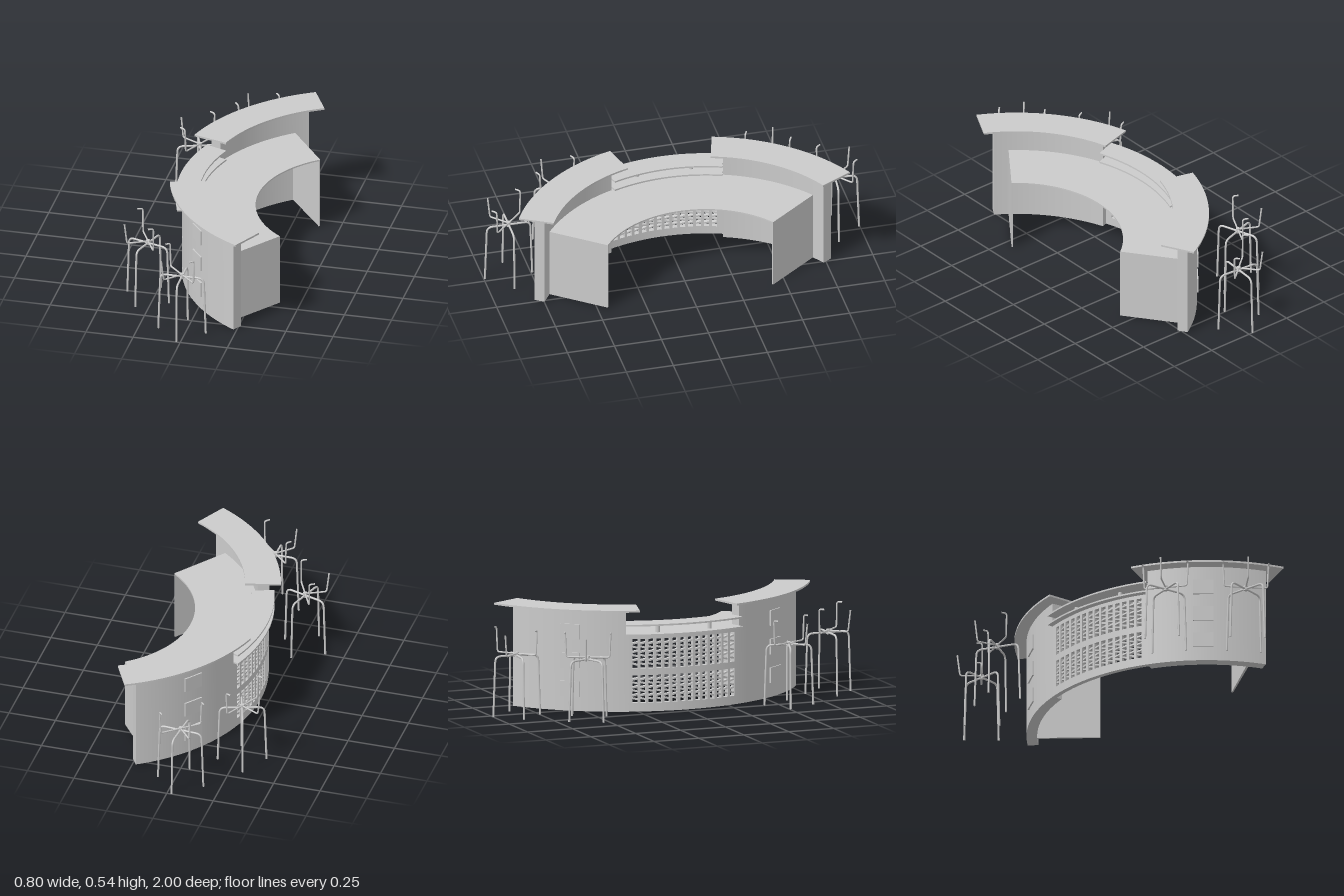
import * as THREE from 'three';
import { toCreasedNormals } from 'three/addons/utils/BufferGeometryUtils.js';

const CX = 0.725, CZ = 0.006; // centre of all the counter arcs
const DEG = Math.PI / 180;
const material = new THREE.MeshStandardMaterial({ color: 0xcccccc });

function add(parent, name, geometry) {
  const mesh = new THREE.Mesh(geometry, material);
  mesh.name = name;
  parent.add(mesh);
  return mesh;
}

// Curved slab between two radii, two angles (degrees from -x towards +z) and two heights
function arcSlab(r0, r1, a0, a1, y0, y1) {
  const s = Math.PI + a0 * DEG, e = Math.PI + a1 * DEG;
  const shape = new THREE.Shape();
  shape.absarc(0, 0, r1, s, e, false);
  shape.absarc(0, 0, r0, e, s, true);
  const geometry = new THREE.ExtrudeGeometry(shape, {
    depth: y1 - y0, bevelEnabled: false, curveSegments: Math.max(1, Math.ceil((a1 - a0) / 2)),
  });
  geometry.rotateX(-Math.PI / 2).translate(0, y0, 0);
  return toCreasedNormals(geometry, 0.5);
}

// Place a mesh on the arc, its x axis pointing outwards
function placeOnArc(mesh, r, a, y) {
  mesh.position.set(-r * Math.cos(a * DEG), y, r * Math.sin(a * DEG));
  mesh.rotation.y = Math.PI + a * DEG;
}

// Lattice screen: rails, uprights and two bands of small rungs
function createScreen() {
  const screen = new THREE.Group();
  screen.name = 'latticeScreen';
  const half = 19.8, edge = 18.2, columns = 14, step = 2 * edge / columns;
  const r0 = 0.905, r1 = 0.93;
  for (const [y0, y1] of [[0, 0.045], [0.19, 0.225], [0.38, 0.4]]) {
    add(screen, 'rail', arcSlab(r0, r1, -half, half, y0, y1));
  }
  for (const side of [-1, 1]) {
    const ends = [side * edge, side * half].sort((a, b) => a - b);
    add(screen, 'endStile', arcSlab(r0, r1, ...ends, 0.045, 0.38));
  }
  for (let i = 0; i <= columns; i++) {
    const a = -edge + i * step;
    add(screen, 'upright', arcSlab(r0, r1, a - 0.45, a + 0.45, 0.045, 0.38));
    if (i === columns) break;
    for (const [y0, y1] of [[0.045, 0.19], [0.225, 0.38]]) {
      for (let k = 1; k < 7; k++) {
        const rung = add(screen, 'rung', new THREE.BoxGeometry(0.018, 0.009, 0.03));
        placeOnArc(rung, 0.917, a + step / 2, y0 + (y1 - y0) * k / 7);
        rung.rotation.x = (k % 2 ? 1 : -1) * 0.25;
      }
    }
  }
  return screen;
}

// One raised wing of the counter; side is +1 or -1
function createWing(side) {
  const wing = new THREE.Group();
  wing.name = side > 0 ? 'leftWing' : 'rightWing';
  const arc = (r0, r1, a0, a1, y0, y1) => side > 0
    ? arcSlab(r0, r1, a0, a1, y0, y1) : arcSlab(r0, r1, -a1, -a0, y0, y1);
  add(wing, 'curvedWall', arc(0.875, 0.93, 19.8, 58, 0, 0.53));
  add(wing, 'barTop', arc(0.808, 0.993, 15.8, 62.4, 0.53, 0.54));
  add(wing, 'deskEndPanel', arc(0.55, 0.875, 52.3, 53.1, 0, 0.38));
  // Three square blocks stacked on the outer face
  for (const y of [0.115, 0.265, 0.415]) {
    const block = add(wing, 'wallBlock', new THREE.BoxGeometry(0.03, 0.08, 0.105));
    placeOnArc(block, 0.922, side * 37.8, y);
  }
  return wing;
}

// Bent tube running out from the stool hub; corners are rounded
function bentTube(points, bend, radius) {
  const path = new THREE.CurvePath();
  const p = points.map((q) => new THREE.Vector3(...q));
  let last = p[0];
  for (let i = 1; i < p.length - 1; i++) {
    const before = p[i - 1].clone().sub(p[i]).setLength(bend).add(p[i]);
    const after = p[i + 1].clone().sub(p[i]).setLength(bend).add(p[i]);
    path.add(new THREE.LineCurve3(last, before));
    path.add(new THREE.QuadraticBezierCurve3(before, p[i], after));
    last = after;
  }
  path.add(new THREE.LineCurve3(last, p[p.length - 1]));
  return new THREE.TubeGeometry(path, 40, radius, 8, false);
}

// Stool frame: four arched legs, two hooked armrests and a back post
function createStool(x, z, turn) {
  const stool = new THREE.Group();
  stool.name = 'stoolFrame';
  const hub = add(stool, 'hub', new THREE.CylinderGeometry(0.011, 0.011, 0.026, 10));
  hub.position.y = 0.319;
  const foot = new THREE.CircleGeometry(0.0055, 8).rotateX(Math.PI / 2);
  const leg = bentTube([[0, 0.315, 0], [0.115, 0.315, 0], [0.126, 0, 0]], 0.03, 0.0055);
  for (let i = 0; i < 4; i++) {
    const pivot = new THREE.Group();
    pivot.name = 'leg';
    pivot.rotation.y = i * Math.PI / 2;
    add(pivot, 'legTube', leg);
    add(pivot, 'footCap', foot).position.set(0.126, 0.0005, 0);
    stool.add(pivot);
  }
  for (const side of [1, -1]) {
    const arm = add(stool, 'armrest', bentTube(
      [[0, 0.325, 0], [0.112, 0.325, 0], [0.118, 0.455, 0], [0.118, 0.455, side * 0.03]], 0.012, 0.0045));
    arm.rotation.y = (side > 0 ? -45 : -225) * DEG;
  }
  const back = add(stool, 'backPost', bentTube(
    [[0, 0.325, 0], [0.112, 0.325, 0], [0.126, 0.44, 0]], 0.012, 0.0045));
  back.rotation.y = -135 * DEG;
  stool.position.set(x, 0, z);
  stool.rotation.y = -turn * DEG;
  return stool;
}

export function createModel() {
  const model = new THREE.Group();
  model.name = 'receptionBar';

  const counter = new THREE.Group();
  counter.name = 'counter';
  counter.position.set(CX, 0, CZ);
  counter.add(createScreen(), createWing(1), createWing(-1));
  add(counter, 'deskTop', arcSlab(0.55, 0.9, -53.1, 53.1, 0.378, 0.386));
  // Middle shelves held apart by two short posts
  add(counter, 'lowerShelf', arcSlab(0.84, 0.96, -19.8, 19.8, 0.4, 0.409));
  add(counter, 'upperShelf', arcSlab(0.84, 0.96, -19.8, 19.8, 0.451, 0.46));
  for (const a of [-9.2, 9.2]) {
    const post = add(counter, 'shelfPost', new THREE.CylinderGeometry(0.011, 0.011, 0.044, 16));
    placeOnArc(post, 0.9, a, 0.43);
  }
  model.add(counter);

  // Stools: x, z and turn in degrees
  for (const [x, z, turn] of [[-0.022, 0.868, 0], [-0.28, 0.545, 18], [-0.277, -0.573, 72], [-0.036, -0.871, 95]]) {
    model.add(createStool(x, z, turn));
  }
  return model;
}
